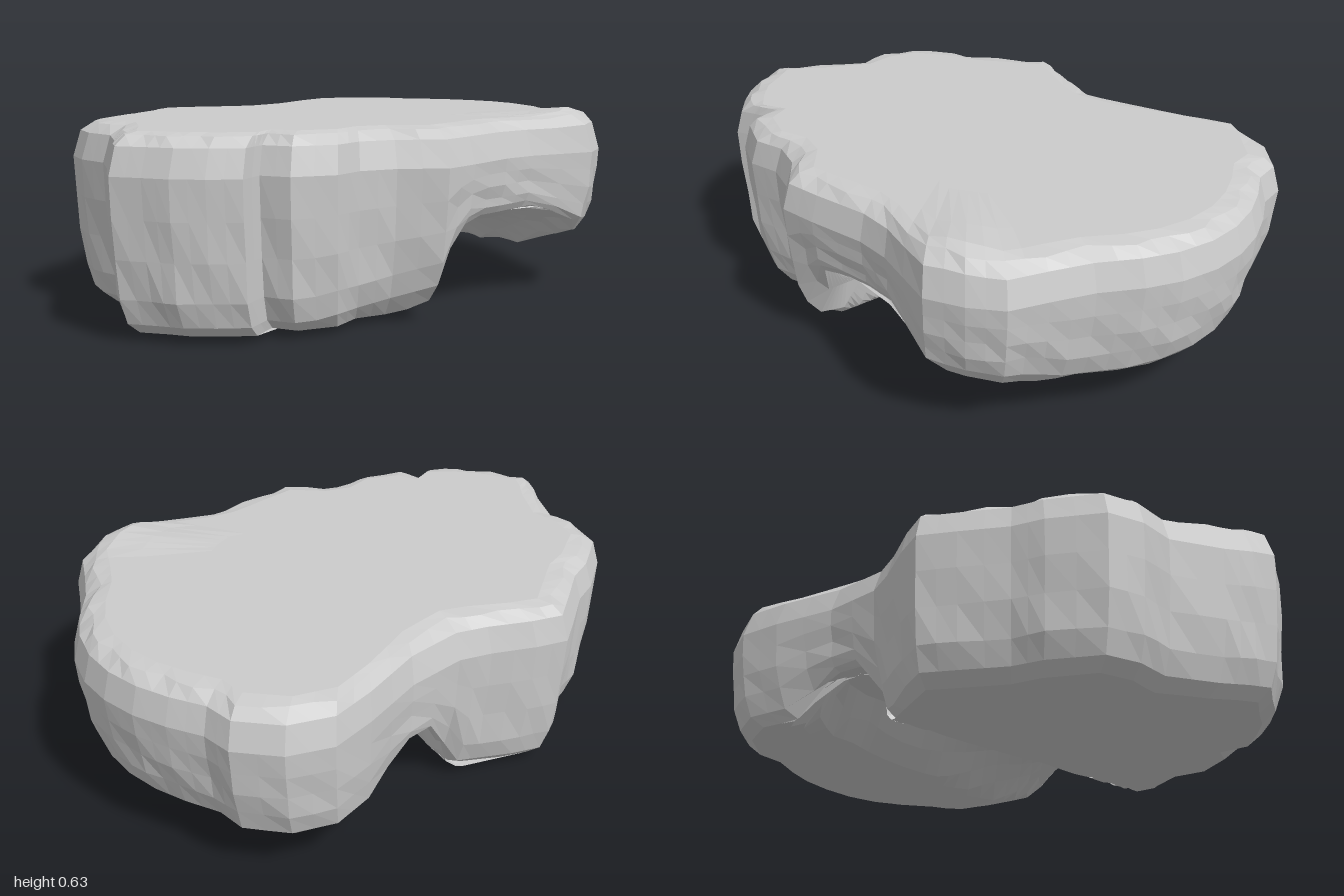
import * as THREE from 'three';

// Plan outline as x, z pairs, from the front tip round by the left side
const OUTLINE = [
  0.03, 1, 0.12, 0.96, 0.2, 0.93, 0.28, 0.87, 0.355, 0.8, 0.34, 0.75, 0.33, 0.71, 0.42, 0.68,
  0.49, 0.56, 0.48, 0.45, 0.53, 0.34, 0.64, 0.23, 0.64, 0.1, 0.63, -0.1, 0.65, -0.22, 0.74, -0.45,
  0.7, -0.57, 0.64, -0.67, 0.53, -0.73, 0.41, -0.8, 0.3, -0.89, 0.2, -0.95, 0.08, -0.99, -0.04, -1,
  -0.16, -0.985, -0.27, -0.95, -0.38, -0.9, -0.48, -0.895, -0.6, -0.8, -0.66, -0.67, -0.64, -0.52,
  -0.59, -0.3, -0.59, -0.1, -0.63, 0, -0.7, 0.13, -0.74, 0.23, -0.68, 0.34, -0.6, 0.48, -0.57, 0.58,
  -0.48, 0.74, -0.37, 0.79, -0.25, 0.8, -0.1, 0.9, -0.03, 0.96,
];

// Underside height along the length: rear foot, arch, then the deep front foot
const UNDERSIDE = [
  [-1, 0.165], [-0.88, 0.15], [-0.46, 0.145], [-0.41, 0.19], [-0.33, 0.265],
  [-0.12, 0.27], [-0.03, 0.25], [0.01, 0.2], [0.04, 0.07], [0.09, 0.03], [1, 0.025],
];
const FOOT_WALL = 0.01;
const SKEW = 0.22;

const clamp = THREE.MathUtils.clamp;

function profileAt(table, u) {
  if (u <= table[0][0]) return table[0][1];
  for (let i = 1; i < table.length; i++) {
    const [a, ya] = table[i - 1], [b, yb] = table[i];
    if (u <= b) return ya + (yb - ya) * (u - a) / (b - a);
  }
  return table[table.length - 1][1];
}

// The front foot's back wall runs obliquely; the left flank is undercut
function bottomAt(x, z) {
  const u = z - SKEW * x * clamp((z + 0.4) / 0.25, 0, 1);
  const lift = Math.max(0, x - 0.45) * 0.33;
  const dip = 0.027 * Math.max(0, 1 - Math.hypot(x + 0.26, z - 0.57) / 0.15);
  return profileAt(UNDERSIDE, u) + lift - dip;
}

// Flat top with a small swelling on the left rear rim
function topAt(x, z) {
  return 0.61 + 0.03 * Math.max(0, 1 - Math.hypot(x - 0.6, z + 0.46) / 0.16);
}

// The lower rim is well rounded on the feet and sharper along the arch
function rounding(p) {
  return clamp((0.33 - bottomAt(p.x, p.y)) / 0.14, 0.35, 1);
}

function createRockGeometry() {
  // Each outline edge is split in two
  const outline = [];
  const n = OUTLINE.length / 2;
  for (let i = 0; i < n; i++) {
    const j = (i + 1) % n;
    const a = new THREE.Vector2(OUTLINE[2 * i], OUTLINE[2 * i + 1]);
    const b = new THREE.Vector2(OUTLINE[2 * j], OUTLINE[2 * j + 1]);
    outline.push(a, a.clone().lerp(b, 0.5));
  }
  const ring = (inset, height) => outline.map((p, i) => {
    const s = 1 - inset(p, i) / p.length();
    const x = p.x * s, z = p.y * s;
    return new THREE.Vector3(x, height(x, z, p), z);
  });
  const rings = [];

  // Top surface and rounded upper rim
  for (const f of [0.75, 0.5, 0.25]) rings.push(ring(p => p.length() * f, topAt));
  rings.push(ring(() => 0.11, topAt));
  rings.push(ring((p, i) => 0.065 + 0.012 * Math.sin(i * 1.7), (x, z) => topAt(x, z) - 0.008));
  rings.push(ring(() => 0.025, (x, z) => topAt(x, z) - 0.037));

  // Side wall, from the widest level down to the lower rim
  const wall = [[0, 1], [0.004, 0.66], [0.012, 0.33], [0.024, 0]];
  for (const [d, t] of wall) {
    rings.push(ring((p, i) => d * rounding(p) + 0.005 * (1 + Math.sin(i * 1.3 + t * 9)) * (1 - t), (x, z, p) => {
      const low = bottomAt(p.x, p.y) + 0.11 * rounding(p);
      return low + (0.49 - low) * t;
    }));
  }
  rings.push(ring(p => 0.055 * rounding(p), (x, z, p) => bottomAt(p.x, p.y) + 0.035 * rounding(p)));

  // Underside, drawn in on to a line along the front foot's back wall
  const rim = ring(p => 0.1 * rounding(p), bottomAt);
  rings.push(rim);
  const steps = 14;
  for (let k = 1; k <= steps; k++) {
    const f = 1 - (1 - k / steps) ** 1.8;
    rings.push(rim.map(p => {
      const lineX = p.x * 0.8;
      const x = p.x + (lineX - p.x) * f;
      const z = p.z + (FOOT_WALL + SKEW * lineX - p.z) * f;
      return new THREE.Vector3(x, bottomAt(x, z), z);
    }));
  }

  // Skin the rings and close the top with a fan
  const out = [];
  const tri = (...pts) => pts.forEach(p => out.push(p.x, p.y, p.z));
  const m = outline.length;
  const topCentre = new THREE.Vector3(0, topAt(0, 0), 0);
  for (let i = 0; i < m; i++) {
    const j = (i + 1) % m;
    tri(topCentre, rings[0][i], rings[0][j]);
    for (let k = 0; k < rings.length - 1; k++) {
      const a = rings[k], b = rings[k + 1];
      tri(a[i], b[i], b[j]);
      tri(a[i], b[j], a[j]);
    }
  }
  const geometry = new THREE.BufferGeometry();
  geometry.setAttribute('position', new THREE.Float32BufferAttribute(out, 3));
  geometry.computeVertexNormals();
  return geometry;
}

export function createModel() {
  const group = new THREE.Group();
  group.name = 'flatRock';
  const material = new THREE.MeshStandardMaterial({ color: 0xcccccc, flatShading: true });
  const rock = new THREE.Mesh(createRockGeometry(), material);
  rock.name = 'rockSlab';
  group.add(rock);
  return group;
}
